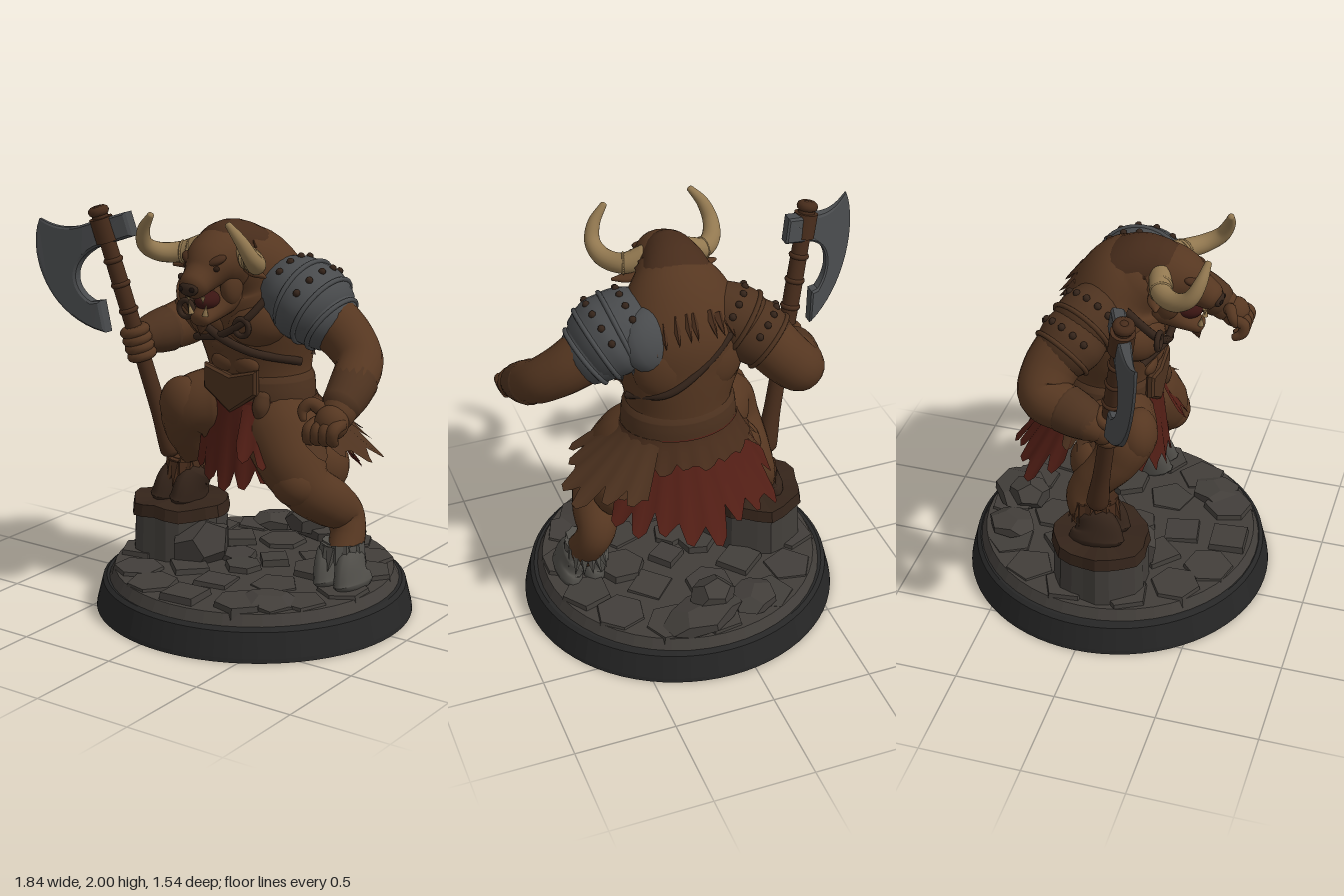
import * as THREE from 'three';

const SKIN = 0x563721, FUR = 0x472c1b, DARK = 0x34241a, LEATHER = 0x4d321f, RED = 0x521e15,
  STEEL = 0x494b4d, STONE = 0x423e3a, HORN = 0x927850, HOOF = 0x504e49, BASE = 0x262626;
const V = (p) => new THREE.Vector3(...p);
const X = new THREE.Vector3(1, 0, 0), Y = new THREE.Vector3(0, 1, 0), Z = new THREE.Vector3(0, 0, 1);

export function createModel() {
  const model = new THREE.Group();
  let seed = 7;
  const rnd = () => (seed = (seed * 16807) % 2147483647) / 2147483647;

  function add(name, geo, color, opts = {}) {
    const m = new THREE.Mesh(geo, new THREE.MeshStandardMaterial({ color, ...opts }));
    m.name = name;
    model.add(m);
    return m;
  }
  // Smooth closed body through points [x, y, z, r, r2]; ref fixes the direction of r
  function loft(name, color, pts, ref = null, seg = 20) {
    const curve = new THREE.CatmullRomCurve3(pts.map((p) => V(p)));
    const radii = new THREE.CatmullRomCurve3(pts.map((p) => new THREE.Vector3(p[3], p[4] ?? p[3], 0)), false, 'catmullrom');
    const n = pts.length * 6, frames = curve.computeFrenetFrames(n), rows = [];
    for (let i = 0; i <= n; i++) {
      const c = curve.getPointAt(i / n), T = frames.tangents[i], r = radii.getPoint(curve.getUtoTmapping(i / n));
      let N = frames.normals[i], B = frames.binormals[i];
      if (ref) {
        N = ref.clone().addScaledVector(T, -ref.dot(T)).normalize();
        B = T.clone().cross(N);
      }
      const ends = i === 0 ? [-1.56, -1.1, -0.55, 0] : i === n ? [0, 0.55, 1.1, 1.56] : [0];
      for (const a of ends) rows.push({ c: c.clone().addScaledVector(T, Math.sin(a) * Math.min(r.x, r.y) * 0.6), N, B, r, k: Math.cos(a) });
    }
    const pos = [], idx = [];
    rows.forEach(({ c, N, B, r, k }, i) => {
      for (let j = 0; j < seg; j++) {
        const a = (j / seg) * Math.PI * 2;
        const p = c.clone().addScaledVector(N, Math.cos(a) * r.x * k).addScaledVector(B, Math.sin(a) * r.y * k);
        pos.push(p.x, p.y, p.z);
        if (i === rows.length - 1) continue;
        const q = i * seg + j, s = i * seg + ((j + 1) % seg);
        idx.push(q, s, q + seg, s, s + seg, q + seg);
      }
    });
    const g = new THREE.BufferGeometry();
    g.setAttribute('position', new THREE.Float32BufferAttribute(pos, 3));
    g.setIndex(idx);
    g.computeVertexNormals();
    return add(name, g, color);
  }
  function ball(name, color, p, s, rot = [0, 0, 0], d = 18) {
    const m = add(name, new THREE.SphereGeometry(1, d, Math.ceil(d * 0.7)), color);
    m.position.set(...p); m.scale.set(...s); m.rotation.set(...rot);
  }
  function cone(name, color, p, dir, r, h, sides = 6) {
    const m = add(name, new THREE.ConeGeometry(r, h, sides), color, { flatShading: sides < 7 });
    m.position.set(...p);
    m.quaternion.setFromUnitVectors(Y, V(dir).normalize());
  }
  const tube = (name, color, pts, r) =>
    add(name, new THREE.TubeGeometry(new THREE.CatmullRomCurve3(pts.map(V)), 24, r, 8), color);

  // Plinth, ground, cobbles and rubble
  const plinth = add('plinth', new THREE.LatheGeometry([[0, 0], [0.788, 0], [0.785, 0.02], [0.755, 0.14], [0.735, 0.155], [0, 0.155]].map((p) => new THREE.Vector2(...p)), 72), BASE, { flatShading: true });
  plinth.position.x = 0.125; plinth.scale.z = 0.98;
  const ground = add('ground', new THREE.CylinderGeometry(0.69, 0.72, 0.06, 48), STONE, { flatShading: true });
  ground.position.set(0.125, 0.178, 0);
  for (const [R, n, w] of [[0.575, 14, 0.135], [0.33, 8, 0.13], [0.1, 3, 0.1]]) {
    for (let i = 0; i < n; i++) {
      const a = ((i + rnd() * 0.25) / n) * Math.PI * 2, h = 0.045 + rnd() * 0.03;
      const s = add('cobble', new THREE.CylinderGeometry(w * 0.9, w, h, 4 + Math.floor(rnd() * 3)), STONE, { flatShading: true });
      s.position.set(0.125 + Math.sin(a) * R, 0.18 + h / 2 - 0.012, Math.cos(a) * R);
      s.rotation.set((rnd() - 0.5) * 0.08, a + Math.PI / 4 + (rnd() - 0.5) * 0.3, (rnd() - 0.5) * 0.08);
    }
  }
  for (const [x, y, z, w, h, d, r] of [[0.12, 0.29, -0.49, 0.19, 0.13, 0.18, 0.3], [0.2, 0.245, -0.56, 0.34, 0.09, 0.24, 0.2], [-0.08, 0.24, -0.52, 0.22, 0.07, 0.2, 1], [-0.12, 0.28, 0.11, 0.2, 0.26, 0.28, -0.35], [0.5, 0.215, 0.42, 0.24, 0.06, 0.22, 0.6]]) {
    const s = add('rock', new THREE.DodecahedronGeometry(0.62), STONE, { flatShading: true });
    s.position.set(x, y, z); s.scale.set(w, h, d); s.rotation.set(0.1, r, -0.12);
  }
  // Stump under the raised foot, cracked sides and a ragged top
  const ragged = (name, color, r0, r1, h, y) => {
    const g = new THREE.CylinderGeometry(r0, r1, h, 22, 1), p = g.attributes.position;
    for (let i = 0; i < p.count; i++) {
      const a = Math.atan2(p.getZ(i), p.getX(i)), k = 1 + 0.035 * Math.sin(a * 7) + 0.03 * Math.sin(a * 3 + 1);
      p.setXYZ(i, p.getX(i) * k, p.getY(i) + 0.008 * Math.sin(a * 5), p.getZ(i) * k);
    }
    add(name, g, color, { flatShading: true }).position.set(-0.3, y, 0.03);
  };
  ragged('stumpBase', STONE, 0.23, 0.24, 0.26, 0.3);
  ragged('stumpTop', DARK, 0.235, 0.245, 0.06, 0.45);

  // Torso and muscles
  loft('torso', SKIN, [[0.13, 0.95, -0.03, 0.22, 0.18], [0.13, 1.1, -0.04, 0.265, 0.215], [0.13, 1.22, -0.04, 0.26, 0.225], [0.12, 1.4, -0.03, 0.31, 0.24], [0.11, 1.55, -0.01, 0.325, 0.25], [0.1, 1.7, 0.05, 0.26, 0.215], [0.09, 1.78, 0.14, 0.18, 0.16]], X, 32);
  for (const s of [-1, 1]) {
    ball('pectoral', SKIN, [0.11 + s * 0.13, 1.47, 0.14], [0.155, 0.12, 0.1], [0, s * 0.3, s * 0.15]);
    ball('backMuscle', SKIN, [0.12 + s * 0.14, 1.47, -0.165], [0.14, 0.17, 0.085], [0.1, -s * 0.3, 0]);
    for (const y of [1.26, 1.34]) ball('abdominal', SKIN, [0.125 + s * 0.06, y, 0.165], [0.075, 0.05, 0.035]);
  }
  loft('belt', LEATHER, [[0.13, 1.08, -0.04, 0.285, 0.235], [0.13, 1.13, -0.04, 0.282, 0.237], [0.13, 1.18, -0.04, 0.275, 0.235]], X, 32);
  const plate = new THREE.Shape([[-0.14, 0.1], [0, 0.06], [0.14, 0.1], [0.14, 0], [0, -0.1], [-0.14, 0]].map((p) => new THREE.Vector2(...p)));
  add('beltPlate', new THREE.ExtrudeGeometry(plate, { depth: 0.02, bevelSize: 0.012, bevelThickness: 0.012, bevelSegments: 1 }), LEATHER).position.set(0.12, 1.135, 0.18);
  loft('pouch', LEATHER, [[0.28, 1.12, 0.16, 0.035], [0.28, 1.07, 0.175, 0.042], [0.28, 1.03, 0.175, 0.035]]);
  tube('chestStrap', DARK, [[-0.15, 1.68, 0.1], [-0.1, 1.54, 0.22], [0.05, 1.42, 0.245], [0.24, 1.34, 0.21], [0.41, 1.28, 0.03]], 0.02);
  tube('shoulderStrap', DARK, [[0.33, 1.64, 0.14], [0.24, 1.5, 0.24], [0.1, 1.41, 0.245], [-0.1, 1.36, 0.17]], 0.018);
  tube('backStrap', DARK, [[-0.15, 1.66, -0.17], [0.05, 1.5, -0.255], [0.25, 1.36, -0.25], [0.4, 1.28, -0.08]], 0.018);
  for (const [x, y, z] of [[0.22, 1.46, 0.25], [-0.1, 1.51, 0.25]]) add('strapRing', new THREE.TorusGeometry(0.04, 0.014, 8, 20), DARK).position.set(x, y, z);

  // Mane over the hump
  loft('mane', FUR, [[0.1, 1.5, -0.2, 0.16, 0.05], [0.1, 1.64, -0.11, 0.21, 0.1], [0.1, 1.76, 0.0, 0.19, 0.12], [0.09, 1.8, 0.12, 0.16, 0.14], [0.08, 1.81, 0.24, 0.125, 0.125]], X, 24);
  for (let i = 0; i < 63; i++) {
    const t = (i % 7) / 8, a = (Math.floor(i / 7) / 8 - 0.5) * 2.4 + (rnd() - 0.5) * 0.25;
    const R = 0.2 - 0.05 * t, cy = 1.585 + 0.16 * Math.sin(t * 1.57), cz = -0.175 + 0.38 * t;
    cone('maneTuft', FUR, [0.095 + Math.sin(a) * R, cy + Math.cos(a) * (0.09 + 0.08 * t), cz - (1 - t) * 0.05 * Math.cos(a)], [Math.sin(a) * 0.3, -0.9 + t * 0.8, -1], 0.03, 0.11 + rnd() * 0.04, 5);
  }
  // Head
  loft('head', SKIN, [[0.09, 1.72, 0.1, 0.16], [0.09, 1.77, 0.22, 0.155, 0.15], [0.09, 1.76, 0.31, 0.13, 0.125], [0.09, 1.71, 0.39, 0.085, 0.085], [0.09, 1.675, 0.455, 0.07, 0.065]], X, 24);
  loft('jaw', SKIN, [[0.09, 1.6, 0.22, 0.11, 0.1], [0.09, 1.54, 0.32, 0.075, 0.055], [0.09, 1.51, 0.4, 0.052, 0.036]], X);
  cone('beard', FUR, [0.09, 1.475, 0.385], [0, -1, 0.3], 0.05, 0.09, 8);
  ball('mouth', 0x3a1512, [0.09, 1.59, 0.33], [0.058, 0.045, 0.08]);
  ball('nose', DARK, [0.09, 1.67, 0.485], [0.052, 0.034, 0.025]);
  for (const s of [-1, 1]) {
    const x = (d) => 0.09 + s * d;
    ball('nostril', 0x1c120d, [x(0.03), 1.67, 0.503], [0.014, 0.012, 0.008], [0, 0, 0], 10);
    ball('brow', FUR, [x(0.07), 1.79, 0.375], [0.055, 0.022, 0.035], [0.3, s * 0.5, s * 0.2]);
    ball('eye', 0x2a1a10, [x(0.08), 1.755, 0.385], [0.02, 0.015, 0.018], [0, 0, 0], 10);
    ball('cheek', SKIN, [x(0.075), 1.66, 0.25], [0.045, 0.1, 0.07]);
    cone('tusk', HORN, [x(0.045), 1.565, 0.415], [s * 0.2, 1, 0.1], 0.015, 0.06, 8);
    cone('fang', HORN, [x(0.04), 1.61, 0.43], [0, -1, 0], 0.012, 0.035, 8);
    loft('ear', SKIN, [[x(0.13), 1.75, 0.22, 0.03, 0.02], [x(0.19), 1.725, 0.23, 0.038, 0.02], [x(0.26), 1.715, 0.25, 0.008]], Z, 12);
    loft('horn', HORN, [[x(0.1), 1.82, 0.23, 0.056], [x(0.2), 1.785, 0.26, 0.05], [x(0.275), 1.79, 0.345, 0.045], [x(0.298), 1.835, 0.42, 0.038], [x(0.275), 1.91, 0.46, 0.03], [x(0.217), 1.987, 0.48, 0.016]]);
    for (const t of [0.13, 0.165, 0.2]) ball('hornRidge', HORN, [x(t), 1.845 - t * 0.3, 0.23 + (t - 0.1) * 0.3], [0.014, 0.056, 0.056], [0, -s * 0.3, 0]);
  }

  // Left arm, open hand
  loft('leftArm', SKIN, [[0.38, 1.58, -0.01, 0.15], [0.56, 1.49, 0.01, 0.135], [0.67, 1.42, 0.03, 0.122], [0.765, 1.345, 0.09, 0.11], [0.8, 1.275, 0.2, 0.104], [0.815, 1.195, 0.32, 0.085], [0.82, 1.155, 0.37, 0.075]]);
  loft('leftBracer', LEATHER, [[0.797, 1.28, 0.18, 0.11], [0.81, 1.235, 0.26, 0.102], [0.815, 1.195, 0.33, 0.09]]);
  ball('leftPalm', SKIN, [0.82, 1.14, 0.41], [0.08, 0.08, 0.075]);
  for (let i = 0; i < 4; i++) {
    const x = 0.875 - i * 0.042, y = 1.145 - i * 0.004;
    loft('leftFinger', SKIN, [[x, y, 0.42, 0.032], [x - 0.005, y - 0.02, 0.475, 0.03], [x - 0.015, y - 0.065, 0.47, 0.027], [x - 0.025, y - 0.09, 0.43, 0.021]], null, 10);
  }
  loft('leftThumb', SKIN, [[0.77, 1.18, 0.39, 0.035], [0.71, 1.21, 0.41, 0.03], [0.68, 1.18, 0.43, 0.025], [0.69, 1.14, 0.44, 0.016]], null, 10);
  // Right arm, gripping
  loft('rightArm', SKIN, [[-0.14, 1.6, -0.07, 0.145], [-0.25, 1.51, -0.15, 0.138], [-0.34, 1.41, -0.21, 0.13], [-0.42, 1.33, -0.21, 0.122], [-0.465, 1.3, -0.08, 0.11], [-0.51, 1.28, 0.04, 0.085], [-0.52, 1.27, 0.09, 0.07]]);
  loft('rightBracer', LEATHER, [[-0.46, 1.3, -0.09, 0.116], [-0.485, 1.29, -0.02, 0.107], [-0.51, 1.28, 0.05, 0.088]]);
  ball('rightPalm', SKIN, [-0.515, 1.26, 0.1], [0.065, 0.075, 0.06]);

  // Shoulder armour with studs, deeper than tall by the factor wide
  function pauldron(name, color, wide, plates) {
    plates.forEach(([a, b, r0, r1, studs]) => {
      const A = V(a), B = V(b), mid = A.clone().lerp(B, 0.5), rm = (r0 + r1) / 2 + 0.012;
      loft(name, color, [[...a, r0 * wide, r0], [...mid.toArray(), rm * wide, rm], [...b, r1 * wide, r1]], Z, 28);
      const T = B.clone().sub(A).normalize();
      const up = Y.clone().addScaledVector(T, -T.y).normalize(), side = T.clone().cross(up);
      const rim = add(name + 'Rim', new THREE.TorusGeometry(r1, 0.012, 8, 32), color);
      rim.position.copy(B);
      rim.quaternion.setFromRotationMatrix(new THREE.Matrix4().makeBasis(up, side, T));
      rim.scale.y = wide;
      for (let i = 0; i < studs; i++) {
        const c = (i - (studs - 1) / 2) * 0.42;
        const p = mid.clone().addScaledVector(up, Math.cos(c) * rm).addScaledVector(side, Math.sin(c) * rm * wide);
        ball('stud', DARK, p.toArray(), [0.018, 0.018, 0.018], [0, 0, 0], 8);
      }
    });
  }
  pauldron('leftPauldron', STEEL, 1.16, [[[0.26, 1.65, 0.01], [0.41, 1.595, 0.015], 0.13, 0.18, 5], [[0.39, 1.6, 0.015], [0.51, 1.535, 0.015], 0.18, 0.178, 6], [[0.46, 1.55, 0.015], [0.565, 1.48, 0.015], 0.155, 0.145, 0]]);
  ball('backPlate', STEEL, [0.28, 1.6, -0.12], [0.17, 0.16, 0.1], [0.4, 0.3, -0.4]);
  for (let i = 0; i < 6; i++) cone('backPlateSpike', STEEL, [0.17 + i * 0.055, 1.53 - i * 0.012, -0.2 + i * 0.012], [-0.1, -1, -0.15], 0.035, 0.12, 5);
  pauldron('rightPauldron', LEATHER, 1, [[[-0.05, 1.65, -0.03], [-0.18, 1.57, -0.1], 0.13, 0.158, 6], [[-0.18, 1.56, -0.1], [-0.28, 1.48, -0.165], 0.15, 0.146, 6]]);

  // Axe
  const shaftAt = (y) => [-0.365 - ((y - 0.72) / 1.21) * 0.272, y, 0.03 + (y - 0.72) * 0.17];
  const axis = V(shaftAt(2)).sub(V(shaftAt(1))).normalize();
  loft('axeShaft', FUR, [[0.71, 0.055], [0.76, 0.053], [0.9, 0.043], [1.2, 0.04], [1.5, 0.042], [1.75, 0.04], [1.92, 0.04]].map(([y, r]) => [...shaftAt(y), r]));
  const ringAt = (name, color, y, R, r) => {
    const m = add(name, new THREE.TorusGeometry(R, r, 10, 20), color);
    m.position.set(...shaftAt(y)); m.quaternion.setFromUnitVectors(Z, axis);
  };
  for (const y of [1.43, 1.56, 1.68]) ringAt('shaftBand', FUR, y, 0.036, 0.014);
  ringAt('shaftCap', FUR, 1.92, 0.028, 0.024);
  for (let i = 0; i < 4; i++) ringAt('rightFinger', SKIN, 1.205 + i * 0.04, 0.05, 0.026);
  const collar = add('axeCollar', new THREE.CylinderGeometry(0.058, 0.058, 0.12, 14), FUR);
  collar.position.set(...shaftAt(1.83)); collar.quaternion.setFromUnitVectors(Y, axis);
  const blade = new THREE.Shape();
  blade.moveTo(-0.51, 1.91); blade.lineTo(-0.68, 1.85);
  blade.quadraticCurveTo(-0.8, 1.8, -0.89, 1.865);
  blade.bezierCurveTo(-0.95, 1.7, -0.9, 1.4, -0.64, 1.32);
  blade.lineTo(-0.655, 1.46);
  blade.lineTo(-0.69, 1.455);
  blade.bezierCurveTo(-0.79, 1.52, -0.79, 1.67, -0.65, 1.75);
  blade.lineTo(-0.49, 1.81);
  const bladeGeo = new THREE.ExtrudeGeometry(blade, { depth: 0.05, bevelSize: 0.01, bevelThickness: 0.01, bevelSegments: 1, curveSegments: 18 });
  // Thin towards the cutting edge and turn the plane with the shaft
  const bp = bladeGeo.attributes.position;
  for (let i = 0; i < bp.count; i++) {
    const x = bp.getX(i), y = bp.getY(i), thin = 1 - 0.75 * THREE.MathUtils.clamp((-0.66 - x) / 0.24, 0, 1);
    bp.setZ(i, (bp.getZ(i) - 0.025) * thin + 0.22 - 0.5 * (x + 0.62) + 0.1 * (y - 1.83));
  }
  bladeGeo.computeVertexNormals();
  add('axeBlade', bladeGeo, STEEL);

  // Legs, with hocks, fur cuffs and cloven hooves
  loft('leftLeg', SKIN, [[0.23, 1.0, -0.01, 0.18], [0.33, 0.9, 0.05, 0.195], [0.43, 0.78, 0.11, 0.16], [0.495, 0.69, 0.1, 0.13], [0.55, 0.6, -0.01, 0.12], [0.585, 0.52, -0.1, 0.095], [0.615, 0.44, -0.08, 0.087], [0.635, 0.34, -0.01, 0.087]]);
  ball('leftCalf', SKIN, [0.47, 0.75, -0.09], [0.12, 0.14, 0.13]);
  ball('leftKnee', SKIN, [0.47, 0.72, 0.17], [0.115, 0.105, 0.1]);
  loft('rightLeg', SKIN, [[0.03, 1.0, -0.02, 0.18], [-0.08, 1.0, 0.05, 0.185], [-0.17, 0.98, 0.11, 0.155], [-0.22, 0.88, 0.08, 0.12], [-0.25, 0.76, -0.02, 0.105], [-0.28, 0.66, -0.07, 0.085], [-0.3, 0.56, -0.03, 0.085]]);
  ball('rightKnee', SKIN, [-0.18, 1.01, 0.17], [0.125, 0.14, 0.1]);
  ball('rightCalf', SKIN, [-0.19, 0.82, -0.06], [0.1, 0.13, 0.1]);
  for (const [x, y, z, side, hoofColor, turn] of [[0.635, 0.22, 0, 'left', HOOF, 0.25], [-0.3, 0.48, 0.01, 'right', DARK, -0.25]]) {
    for (const s of [-1, 1]) {
      const bx = x + s * 0.058;
      loft(side + 'Hoof', hoofColor, [[bx - turn * 0.08, y + 0.13, z - 0.02, 0.06, 0.09], [bx, y + 0.07, z + 0.01, 0.062, 0.12], [bx + turn * 0.06, y + 0.01, z + 0.015, 0.068, 0.142]], X, 14);
    }
    for (let i = 0; i < 16; i++) {
      const a = (i / 16) * Math.PI * 2;
      cone(side + 'FurTuft', side === 'left' ? HOOF : FUR, [x + Math.cos(a) * 0.09 - turn * 0.05, y + 0.13, z + Math.sin(a) * 0.11 - 0.02], [Math.cos(a) * 0.4, -1, Math.sin(a) * 0.4], 0.036, 0.11 + rnd() * 0.03, 5);
    }
  }

  // Torn cloth hung from the belt, angles in degrees from the left side round the back
  function cloth(name, color, a0, a1, drop, flare, tears, lift = 0) {
    const cols = tears * 4, rowsN = 7, pos = [], idx = [];
    let cut = 1;
    for (let j = 0; j <= cols; j++) {
      const u = j / cols, a = THREE.MathUtils.degToRad(a0 + (a1 - a0) * u);
      if (j % 4 === 0) cut = 0.82 + rnd() * 0.18;
      const len = (cut - [0.2, 0.04, 0, 0.07][j % 4]) * (0.82 + 0.18 * Math.sin(u * Math.PI));
      for (let i = 0; i <= rowsN; i++) {
        const t = (i / rowsN) * len, out = flare * Math.pow(t, 1.2) + lift + 0.012 * Math.sin(j * 1.6) * t;
        pos.push(0.13 + Math.cos(a) * (0.28 + out), 1.09 - drop * t, -0.04 - Math.sin(a) * (0.235 + out));
        if (i < rowsN && j < cols) {
          const q = j * (rowsN + 1) + i, s = q + rowsN + 1;
          idx.push(q, q + 1, s, s, q + 1, s + 1);
        }
      }
    }
    const g = new THREE.BufferGeometry();
    g.setAttribute('position', new THREE.Float32BufferAttribute(pos, 3));
    g.setIndex(idx);
    g.computeVertexNormals();
    add(name, g, color, { side: THREE.DoubleSide });
  }
  cloth('backCloth', RED, 28, 160, 0.47, 0.29, 9);
  cloth('sideCloth', LEATHER, -30, 55, 0.3, 0.36, 6);
  cloth('sideUnderCloth', LEATHER, -35, 45, 0.3, 0.24, 6);
  cloth('rightSideCloth', LEATHER, 150, 210, 0.24, 0.14, 4);
  cloth('frontCloth', RED, -140, -45, 0.47, 0.05, 5, 0.005);
  cloth('frontUnderCloth', RED, -78, -22, 0.36, 0.19, 4);
  cloth('hipFringe', FUR, -50, 210, 0.15, 0.085, 15, 0.008);
  return model;
}
